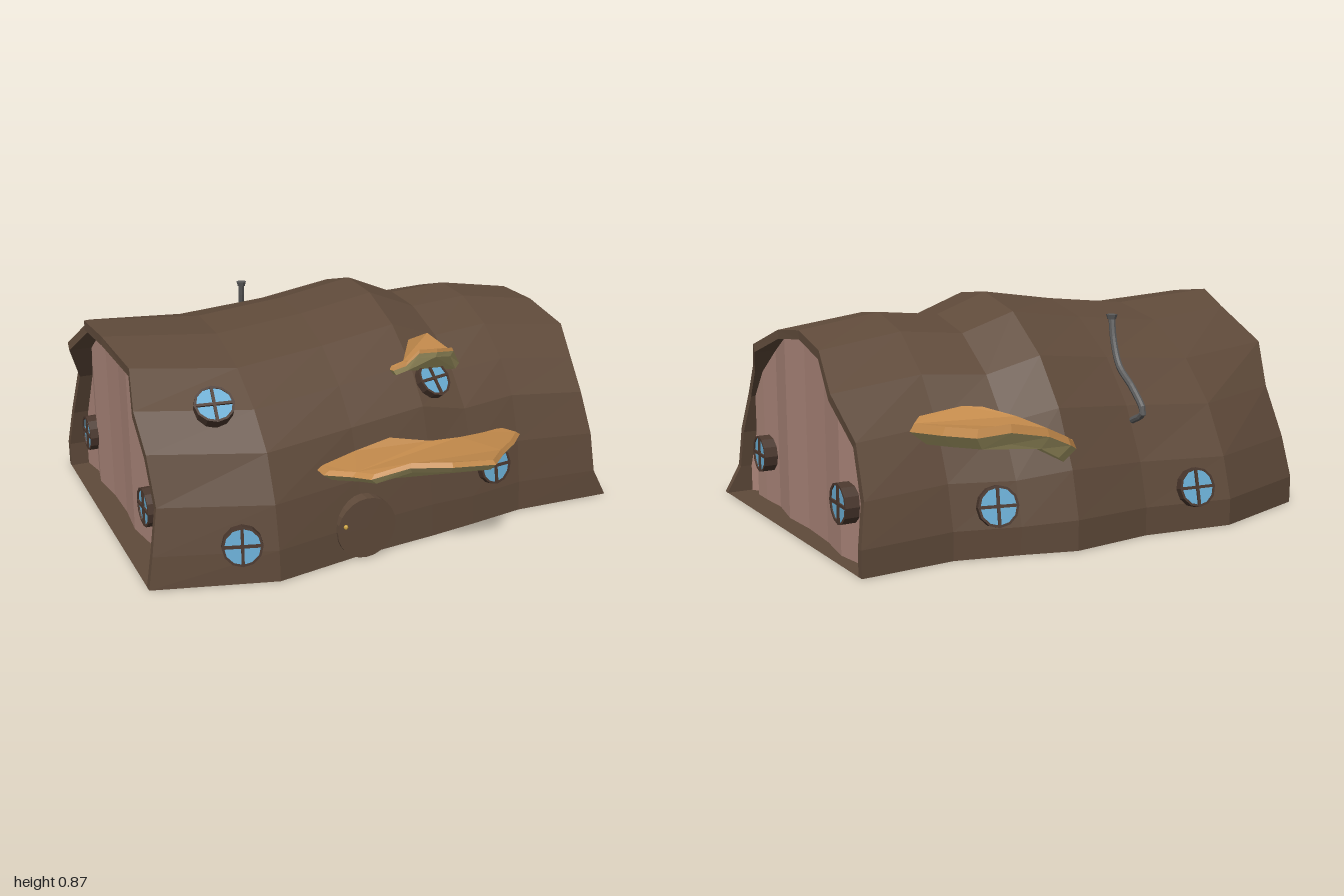
import * as THREE from 'three';

const mat = (name, color, side = THREE.FrontSide) => {
  const m = new THREE.MeshStandardMaterial({ color, flatShading: true, side });
  m.name = name;
  return m;
};

// Arch outline from front foot to back foot: [half-depth factor, height factor]
const ARCH = [[1, 0], [0.99, 0.15], [0.95, 0.36], [0.86, 0.58], [0.71, 0.74], [0.5, 0.88], [0.225, 0.977],
  [-0.05, 1], [-0.355, 0.935], [-0.626, 0.77], [-0.81, 0.57], [-0.94, 0.33], [-1, 0.13], [-1, 0]];
// Log stations: [x, front z, back z, height]
const STATIONS = [[-0.96, 0.555, -0.74, 0.825], [-0.54, 0.69, -0.87, 0.79], [-0.18, 0.63, -0.82, 0.825],
  [0.14, 0.6, -0.85, 0.87], [0.34, 0.575, -0.79, 0.79], [0.58, 0.54, -0.73, 0.81], [0.93, 0.56, -0.745, 0.76]];
// Ragged ends: x of each arch point
const LEFT = [-0.99, -0.97, -0.94, -0.95, -0.96, -0.93, -0.98, -1, -0.93, -0.99, -0.93, -0.95, -0.97, -0.97];
const RIGHT = [1, 0.94, 0.93, 0.91, 0.92, 0.96, 0.92, 0.9, 0.9, 0.93, 0.89, 0.9, 0.93, 0.93];
const INNER = 0.955;

const archPoint = ([, f, b, h], j, s = 1) =>
  [h * ARCH[j][1] * s, (f + b) / 2 + (f - b) / 2 * ARCH[j][0] * s]; // y, z

function makeGeometry(points, index) {
  const g = new THREE.BufferGeometry();
  g.setAttribute('position', new THREE.Float32BufferAttribute(points.flat(), 3));
  g.setIndex(index);
  g.computeVertexNormals();
  return g;
}

// Joins rows of equal length with quads
function gridGeometry(rows) {
  const n = rows[0].length, index = [];
  for (let i = 0; i < rows.length - 1; i++)
    for (let j = 0; j < n - 1; j++) {
      const a = i * n + j, b = a + n;
      index.push(a, b, b + 1, a, b + 1, a + 1);
    }
  return makeGeometry(rows.flat(), index);
}

// Depth of the log surface at x, y (side 1 = front, -1 = back)
function surfaceZ(x, y, side) {
  let k = 0;
  while (k < STATIONS.length - 2 && x > STATIONS[k + 1][0]) k++;
  const t = (x - STATIONS[k][0]) / (STATIONS[k + 1][0] - STATIONS[k][0]);
  const st = STATIONS[k].map((v, i) => THREE.MathUtils.lerp(v, STATIONS[k + 1][i], t));
  const last = ARCH.length - 1;
  for (let n = 0; n < 7; n++) {
    const p = archPoint(st, side > 0 ? n : last - n);
    const q = archPoint(st, side > 0 ? n + 1 : last - n - 1);
    if (y <= q[0]) return THREE.MathUtils.lerp(p[1], q[1], (y - p[0]) / (q[0] - p[0]));
  }
  return 0;
}

function surfaceNormal(x, y, side) {
  const e = 0.05;
  const dx = (surfaceZ(x + e, y, side) - surfaceZ(x - e, y, side)) / (2 * e);
  const dy = (surfaceZ(x, y + e, side) - surfaceZ(x, y - e, side)) / (2 * e);
  return new THREE.Vector3(-dx * side, -dy * side, side).normalize();
}

export function createModel() {
  const model = new THREE.Group();
  const bark = mat('bark', 0x5f4a3a, THREE.DoubleSide);
  const heartwood = mat('heartwood', 0xa98478, THREE.DoubleSide);
  const fungusTop = mat('fungus top', 0xc48b4c);
  const fungusUnder = mat('fungus underside', 0xb5a870);
  const glass = mat('window glass', 0x69acd2);
  const frameWood = mat('frame wood', 0x4b382e, THREE.DoubleSide);
  const metal = mat('pipe metal', 0x5c5c5c);
  const brass = mat('brass', 0xc9a040);

  const add = (name, geometry, material, parent = model) => {
    const m = new THREE.Mesh(geometry, material);
    m.name = name;
    parent.add(m);
    return m;
  };

  // Hollow log: inner lip, outer bark, inner lip
  const first = STATIONS[0], last = STATIONS[STATIONS.length - 1];
  const row = (st, xs, s = 1) => ARCH.map((_, j) => [Array.isArray(xs) ? xs[j] : xs, ...archPoint(st, j, s)]);
  const outer = STATIONS.map((st, i) =>
    row(st, i === 0 ? LEFT : i === STATIONS.length - 1 ? RIGHT : st[0]));
  const wallX = side => ARCH.map((_, j) => side * (0.885 + 0.012 * Math.sin(j * 2.3)));
  const innerL = row(first, wallX(-1), INNER), innerR = row(last, wallX(1), INNER);
  add('log', gridGeometry([innerL, row(first, LEFT, INNER), ...outer, row(last, RIGHT, INNER), innerR]), bark);
  add('floor', gridGeometry([outer.map(r => r[13]), outer.map(r => r[0])]), bark);

  // End walls, slightly uneven
  add('rightEndWall', gridGeometry([innerR.map(([x, , z]) => [x, 0, z]), innerR].reverse()), heartwood);
  add('leftEndWall', gridGeometry([innerL.map(([x, , z]) => [x, 0, z]), innerL]), heartwood);

  // Round windows: drum, rim, pane and cross bars
  function addWindow(name, position, normal) {
    const g = new THREE.Group();
    g.name = name;
    const drum = new THREE.CylinderGeometry(0.075, 0.075, 0.06, 12, 1, true).rotateX(Math.PI / 2);
    add('windowDrum', drum, frameWood, g);
    add('windowRim', new THREE.RingGeometry(0.066, 0.075, 12).translate(0, 0, 0.03), frameWood, g);
    add('windowPane', new THREE.CircleGeometry(0.068, 12).translate(0, 0, 0.024), glass, g);
    add('uprightBar', new THREE.BoxGeometry(0.011, 0.138, 0.008).translate(0, 0, 0.027), frameWood, g);
    add('crossBar', new THREE.BoxGeometry(0.138, 0.011, 0.008).translate(0, 0, 0.027), frameWood, g);
    g.position.copy(position);
    g.lookAt(position.clone().add(normal));
    model.add(g);
  }
  for (const [x, y, side] of [[-0.68, 0.6, 1], [-0.665, 0.15, 1], [0.215, 0.575, 1], [0.44, 0.225, 1],
    [0.42, 0.18, -1], [-0.39, 0.16, -1]])
    addWindow(side > 0 ? 'frontWindow' : 'backWindow',
      new THREE.Vector3(x, y, surfaceZ(x, y, side)), surfaceNormal(x, y, side));
  for (const side of [1, -1])
    for (const z of [0.305, -0.54])
      addWindow('endWindow', new THREE.Vector3(side * 0.9, 0.208, z), new THREE.Vector3(side, 0, 0));

  // Round front door and knob
  const door = add('door', new THREE.CylinderGeometry(0.12, 0.12, 0.05, 24).rotateX(Math.PI / 2), bark);
  door.position.set(-0.175, 0.122, 0.63);
  const knob = add('doorKnob', new THREE.SphereGeometry(0.009, 8, 6), brass);
  knob.position.set(-0.265, 0.145, 0.66);

  // Shelf fungus awnings: outline points are [x, y, z]
  function addFungus(name, outline, thickness, inset) {
    let pts = outline.slice();
    if (THREE.ShapeUtils.area(pts.map(p => new THREE.Vector2(p[0], -p[2]))) < 0) pts.reverse();
    const n = pts.length;
    const c = [0, 1, 2].map(k => pts.reduce((s, p) => s + p[k], 0) / n);
    const ring = (s, drop) => pts.map(([x, y, z]) => [c[0] + (x - c[0]) * s, y - drop, c[2] + (z - c[2]) * s]);
    const faces = THREE.ShapeUtils.triangulateShape(pts.map(p => new THREE.Vector2(p[0], -p[2])), []);
    const shell = (a, b, capRing, up) => {
      const index = [];
      for (let i = 0; i < n; i++) {
        const k = (i + 1) % n;
        index.push(n + i, n + k, k, n + i, k, i);
      }
      const off = capRing * n;
      for (const [p, q, r] of faces) {
        const A = pts[p], B = pts[q], C = pts[r];
        const ny = (B[2] - A[2]) * (C[0] - A[0]) - (B[0] - A[0]) * (C[2] - A[2]);
        index.push(...((ny > 0) === up ? [p, q, r] : [p, r, q]).map(v => v + off));
      }
      return makeGeometry([...a, ...b], index);
    };
    const g = new THREE.Group();
    g.name = name;
    const rim = ring(1, thickness * 0.4);
    add('fungusCap', shell(ring(0.95, 0), rim, 0, true), fungusTop, g);
    add('fungusUnderside', shell(rim, ring(inset, thickness), 1, false), fungusUnder, g);
    model.add(g);
  }
  addFungus('frontAwning', [[-0.355, 0.385, 0.66], [-0.35, 0.38, 0.59], [-0.2, 0.4, 0.56], [-0.04, 0.425, 0.55],
    [0.13, 0.395, 0.58], [0.28, 0.38, 0.56], [0.42, 0.365, 0.52], [0.53, 0.355, 0.48], [0.56, 0.355, 0.55],
    [0.46, 0.37, 0.66], [0.34, 0.39, 0.77], [0.22, 0.415, 0.9], [0.04, 0.435, 0.9], [-0.1, 0.435, 0.84],
    [-0.24, 0.405, 0.81], [-0.28, 0.395, 0.74]], 0.04, 0.92);
  addFungus('backAwning', [[0.105, 0.39, -0.77], [0.14, 0.4, -0.83], [0.2, 0.43, -0.885], [0.3, 0.475, -0.905],
    [0.45, 0.505, -0.905], [0.57, 0.495, -0.885], [0.64, 0.49, -0.77], [0.69, 0.48, -0.62], [0.65, 0.495, -0.58],
    [0.47, 0.515, -0.58], [0.4, 0.51, -0.61], [0.3, 0.48, -0.69], [0.2, 0.43, -0.74]], 0.075, 0.82);
  addFungus('smallAwning', [[0.04, 0.655, 0.41], [0.1, 0.665, 0.4], [0.16, 0.725, 0.33], [0.28, 0.725, 0.275],
    [0.36, 0.66, 0.33], [0.375, 0.625, 0.37], [0.31, 0.7, 0.43], [0.22, 0.715, 0.46], [0.14, 0.72, 0.46],
    [0.095, 0.67, 0.44], [0.045, 0.655, 0.43]], 0.035, 0.9);

  // Crooked stovepipe on the back
  const path = new THREE.CatmullRomCurve3([[-0.18, 0.42, -0.72], [-0.18, 0.46, -0.785], [-0.18, 0.54, -0.72],
    [-0.185, 0.61, -0.625], [-0.19, 0.7, -0.578], [-0.195, 0.79, -0.555]].map(p => new THREE.Vector3(...p)));
  add('stovepipe', new THREE.TubeGeometry(path, 20, 0.013, 8), metal);
  const cap = add('stovepipeRim', new THREE.CylinderGeometry(0.022, 0.017, 0.018, 8), metal);
  cap.position.set(-0.195, 0.791, -0.555);

  return model;
}
